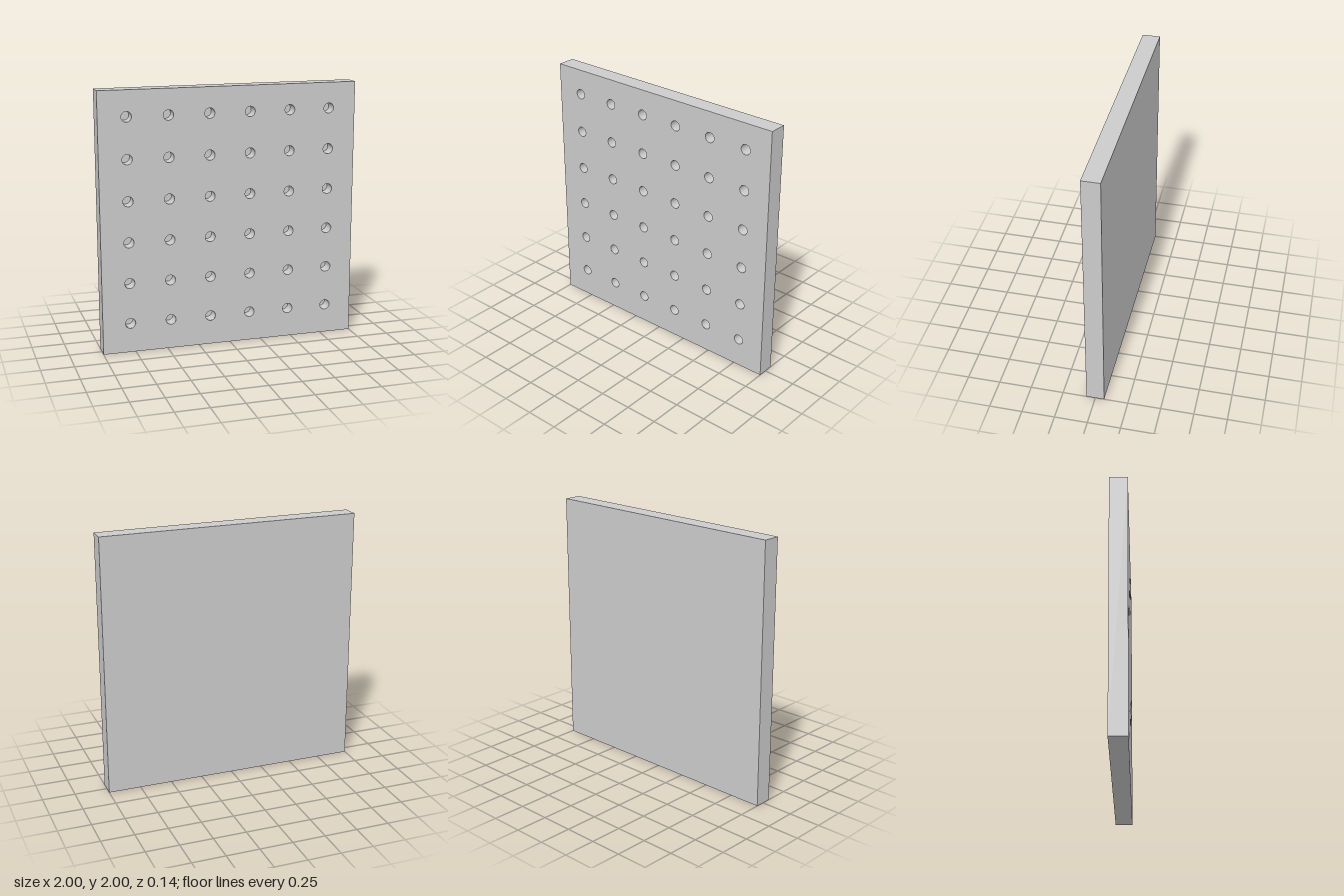
import * as THREE from 'three';

const SIZE = 2, THICK = 0.136, FRONT = THICK / 2;
const COUNT = 6, PITCH = 0.315, RADIUS = 0.039, DEPTH = 0.1, SIDES = 32;
const START_X = -0.787, START_Y = 0.228;

export function createModel() {
  const group = new THREE.Group();
  group.name = 'pegBoard';
  const material = new THREE.MeshStandardMaterial({ color: 0xcccccc });
  const innerMaterial = new THREE.MeshStandardMaterial({ color: 0xcccccc, side: THREE.BackSide });

  const add = (geometry, mat, name, x = 0, y = 0, z = 0) => {
    const mesh = new THREE.Mesh(geometry, mat);
    mesh.name = name;
    mesh.position.set(x, y, z);
    group.add(mesh);
  };

  // Back and edges of the board: a box with its +z face left out
  const shell = new THREE.BoxGeometry(SIZE, SIZE, THICK);
  const index = Array.from(shell.index.array);
  index.splice(24, 6);
  shell.setIndex(index);
  shell.clearGroups();
  add(shell, material, 'boardBody', 0, SIZE / 2, 0);

  // Front face outline, pierced below
  const face = new THREE.Shape([
    new THREE.Vector2(-SIZE / 2, 0), new THREE.Vector2(SIZE / 2, 0),
    new THREE.Vector2(SIZE / 2, SIZE), new THREE.Vector2(-SIZE / 2, SIZE),
  ]);

  // Blind round holes in a square grid: smooth wall plus flat floor
  const wall = new THREE.CylinderGeometry(RADIUS, RADIUS, DEPTH, SIDES, 1, true).rotateX(Math.PI / 2);
  const floor = new THREE.CircleGeometry(RADIUS, SIDES);
  for (let row = 0; row < COUNT; row++) {
    for (let col = 0; col < COUNT; col++) {
      const x = START_X + col * PITCH, y = START_Y + row * PITCH;
      face.holes.push(new THREE.Path().absarc(x, y, RADIUS, 0, Math.PI * 2, true));
      add(wall, innerMaterial, 'holeWall', x, y, FRONT - DEPTH / 2);
      add(floor, material, 'holeFloor', x, y, FRONT - DEPTH);
    }
  }
  add(new THREE.ShapeGeometry(face, SIDES), material, 'boardFront', 0, 0, FRONT);

  return group;
}
